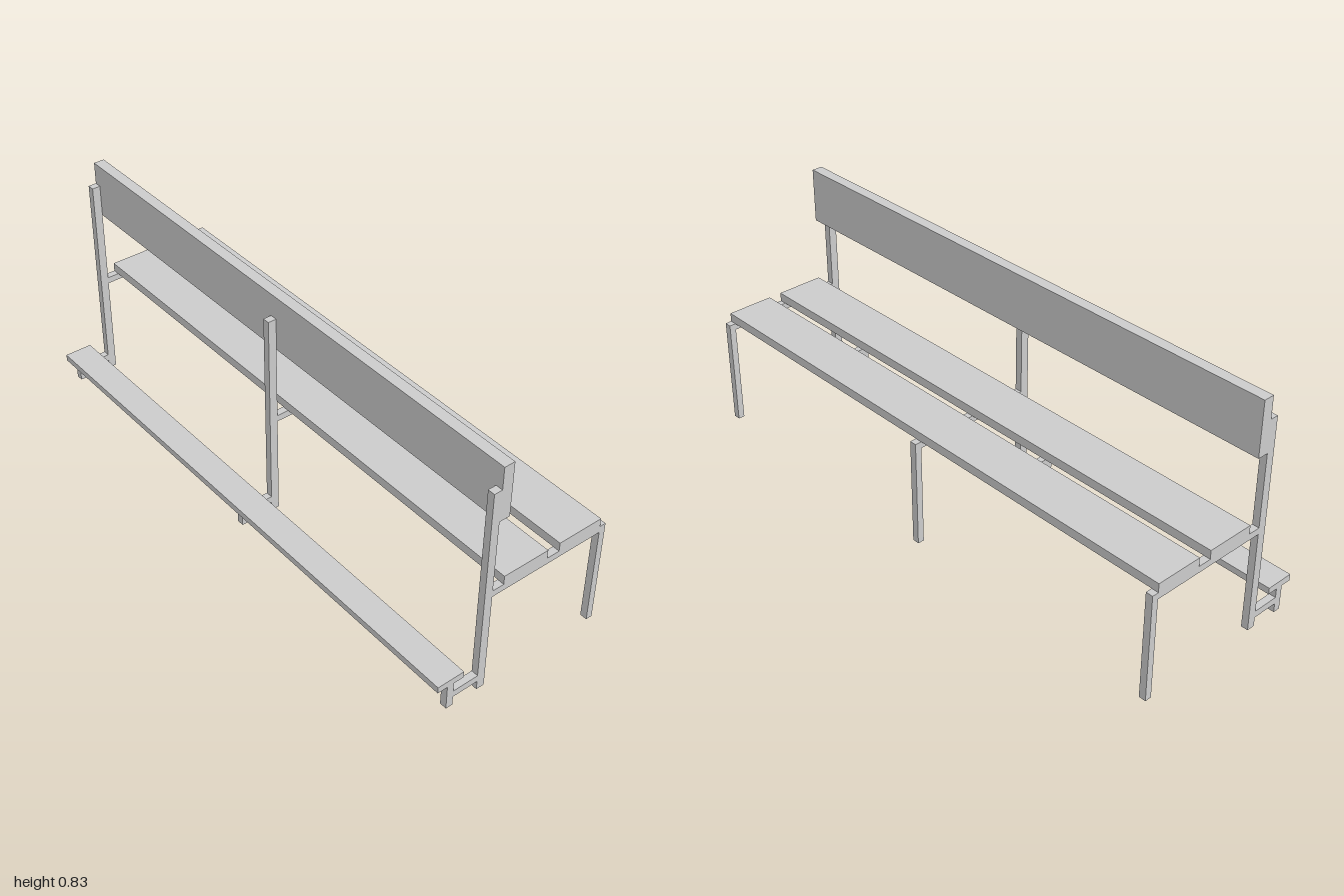
import * as THREE from 'three';

const material = new THREE.MeshStandardMaterial({ color: 0xcccccc });

// Box given by its extents in x, y and z
function bar(parent, name, [x0, x1], [y0, y1], [z0, z1]) {
  const mesh = new THREE.Mesh(new THREE.BoxGeometry(x1 - x0, y1 - y0, z1 - z0), material);
  mesh.position.set((x0 + x1) / 2, (y0 + y1) / 2, (z0 + z1) / 2);
  mesh.name = name;
  parent.add(mesh);
}

// One support frame: back post, seat rail, front leg and footrest bracket
function createFrame(z) {
  const frame = new THREE.Group();
  frame.name = 'supportFrame';
  frame.position.z = z;
  const depth = [-0.0125, 0.0125];
  bar(frame, 'backPost', [-0.162, -0.133], [0, 0.756], depth);
  bar(frame, 'seatRail', [-0.133, 0.316], [0.36, 0.383], depth);
  bar(frame, 'frontLeg', [0.293, 0.316], [0, 0.36], depth);
  bar(frame, 'footrestBar', [-0.256, -0.162], [0.033, 0.057], depth);
  bar(frame, 'footrestLeg', [-0.281, -0.256], [0, 0.09], depth);
  return frame;
}

export function createModel() {
  const bench = new THREE.Group();
  bench.name = 'bench';
  for (const z of [-0.9875, 0, 0.9875]) bench.add(createFrame(z));

  // Full-length boards
  const length = [-1, 1];
  bar(bench, 'rearSeatBoard', [-0.091, 0.079], [0.383, 0.414], length);
  bar(bench, 'frontSeatBoard', [0.126, 0.293], [0.383, 0.414], length);
  bar(bench, 'backrestBoard', [-0.133, -0.095], [0.642, 0.835], length);
  bar(bench, 'footrestBoard', [-0.318, -0.219], [0.09, 0.113], length);
  return bench;
}
